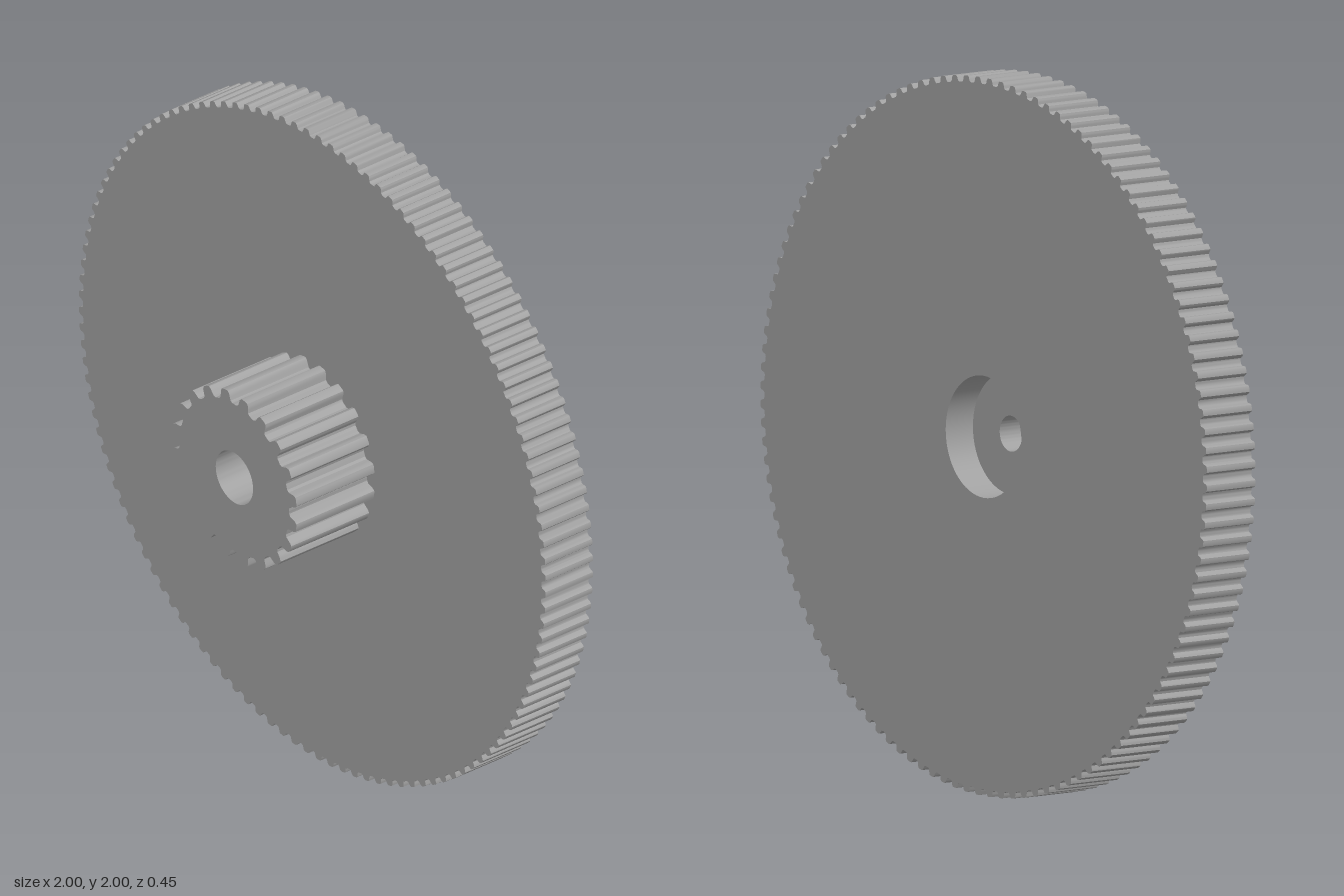
import * as THREE from 'three';
import { toCreasedNormals } from 'three/addons/utils/BufferGeometryUtils.js';

const grey = new THREE.MeshStandardMaterial({ color: 0xa0a0a0 });
grey.name = 'grey plastic';

// Belt groove across one pitch: [fraction of pitch from groove centre, fraction of depth]
const half = [[0.12, 1], [0.21, 0.85], [0.25, 0.55], [0.28, 0.25], [0.34, 0.04], [0.4, 0]];
const groove = [...half.map(([a, d]) => [-a, d]).reverse(), [0, 1], ...half];

function toothedOutline(radius, depth, teeth) {
  const points = [];
  for (let i = 0; i < teeth; i++) {
    for (const [a, d] of groove) {
      const angle = Math.PI / 2 + ((i + a) / teeth) * Math.PI * 2;
      const r = radius - depth * d;
      points.push(new THREE.Vector2(Math.cos(angle) * r, Math.sin(angle) * r));
    }
  }
  return new THREE.Shape(points);
}

function discOutline(radius) {
  return new THREE.Shape().absarc(0, 0, radius, 0, Math.PI * 2, false);
}

// Extrudes an outline with a round hole between two depths
function slab(name, outline, holeRadius, z0, z1) {
  outline.holes.push(new THREE.Path().absarc(0, 0, holeRadius, 0, Math.PI * 2, true));
  const geometry = new THREE.ExtrudeGeometry(outline, {
    depth: z1 - z0, bevelEnabled: false, curveSegments: 32,
  });
  geometry.translate(0, 1, z0);
  const mesh = new THREE.Mesh(toCreasedNormals(geometry, 0.6), grey);
  mesh.name = name;
  return mesh;
}

export function createModel() {
  const group = new THREE.Group();
  group.name = 'compoundPulley';
  const back = -0.225, floor = -0.13, step = -0.055, front = 0.225;

  // Large toothed wheel with a wide recess in its back
  group.add(slab('largeWheel', toothedOutline(1, 0.018, 120), 0.17, back, step));
  // Web between the back recess and the front bore, with the axle hole
  group.add(slab('hubWeb', discOutline(0.17), 0.05, floor, step));
  // Small toothed wheel on the front with a wider bore
  group.add(slab('smallWheel', toothedOutline(0.268, 0.033, 20), 0.08, step, front));
  return group;
}
